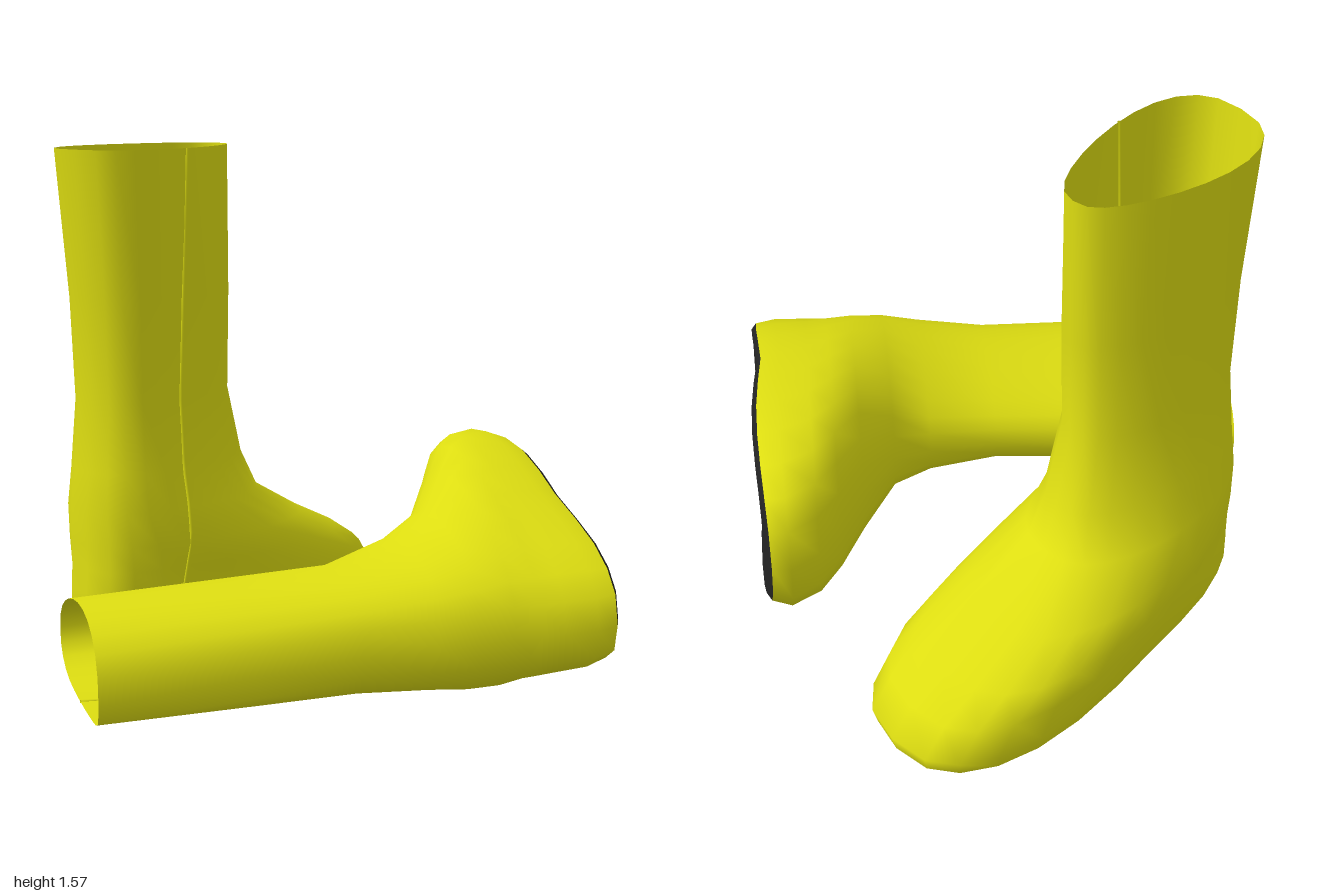
import * as THREE from 'three';

const SEG = 24;
const yellow = new THREE.MeshStandardMaterial({ color: 0xdddd11, side: THREE.DoubleSide });
const dark = new THREE.MeshStandardMaterial({ color: 0x242424, side: THREE.DoubleSide });
const lerp = THREE.MathUtils.lerp;

// Level sections of a boot: height, back, front, side offset (heel, toe),
// half width (heel, toe), waist pinch. u runs heel to toe, s to the inner side.
const SECTIONS = [
  [0.015, 0.005, 1.35, 0.01, 0.17, 0.245, 0.345, 0.13],
  [0.08, -0.015, 1.37, 0.005, 0.18, 0.26, 0.37, 0.12],
  [0.18, -0.01, 1.30, 0.005, 0.18, 0.26, 0.37, 0.09],
  [0.25, -0.005, 1.18, 0.005, 0.175, 0.255, 0.355, 0.05],
  [0.33, 0.0, 0.99, 0.01, 0.15, 0.25, 0.31, 0],
  [0.44, 0.0, 0.765, 0.01, 0.11, 0.24, 0.235, 0],
  [0.56, 0.01, 0.7, 0.01, 0.09, 0.225, 0.175, 0],
  [0.78, 0.025, 0.625, 0.01, 0.06, 0.205, 0.14, 0],
  [1.10, 0.0, 0.625, 0.0, 0.055, 0.215, 0.145, 0],
  [1.57, -0.06, 0.625, -0.02, 0.055, 0.25, 0.14, 0],
];

// Point [u, h, s] on a section at angle t (0 = toe, 90 degrees = inner side)
function sectionPoint([h, u0, u1, sb, sf, wb, wf, pinch], t) {
  const f = (1 + Math.cos(t)) / 2, sn = Math.sin(t);
  const waist = pinch * (sn > 0 ? 0.4 : 1);
  const w = lerp(wb, wf, f) - waist * sn * sn * (1 - f);
  const u = lerp(u0, u1, f);
  return [u, h + lift(u, h), lerp(sb, sf, f) + w * Math.sign(sn) * Math.abs(sn) ** 0.78];
}

// Slight arch under the waist and spring under the toe, fading out upwards
function lift(u, h) {
  const arch = 0.018 * Math.exp(-(((u - 0.5) / 0.2) ** 2));
  const toe = 0.025 * Math.max(0, (u - 0.9) / 0.45) ** 2;
  return (arch + toe) * Math.max(0, 1 - h / 0.2);
}

// Skin over closed rings of local points, placed in the world by place()
function loft(rings, place, mirrored) {
  const pos = [], idx = [];
  rings.forEach((ring) => ring.forEach((p) => pos.push(...place(...p))));
  for (let i = 0; i < rings.length - 1; i++) {
    for (let j = 0; j < SEG; j++) {
      const a = i * SEG + j, b = i * SEG + ((j + 1) % SEG), c = a + SEG, d = b + SEG;
      if (mirrored) idx.push(a, b, c, b, d, c);
      else idx.push(a, c, b, b, c, d);
    }
  }
  const g = new THREE.BufferGeometry();
  g.setAttribute('position', new THREE.Float32BufferAttribute(pos, 3));
  g.setIndex(idx);
  g.computeVertexNormals();
  return g;
}

function makeBoot(name, place, mirrored) {
  const boot = new THREE.Group();
  boot.name = name;
  const add = (geometry, material, part) => {
    const mesh = new THREE.Mesh(geometry, material);
    mesh.name = part;
    boot.add(mesh);
  };
  const angles = Array.from({ length: SEG }, (_, j) => (j / SEG) * Math.PI * 2);

  // Foot and shaft in one open skin
  const rings = SECTIONS.map((row) => angles.map((t) => sectionPoint(row, t)));
  add(loft(rings, place, mirrored), yellow, 'upper');

  // Sole: shrunken copies of the lowest ring, from the middle out to the edge
  const soleRings = [[0, 0.025], [0.5, 0.02], [0.85, 0.002], [0.95, 0], [1, 0.015]].map(([k, h]) =>
    rings[0].map(([u, , s]) => {
      const su = lerp(0.68, u, k);
      return [su, h + lift(su, h), lerp(0.1, s, k)];
    }));
  add(loft(soleRings, place, mirrored), dark, 'sole');

  // Raised seam up the outer side
  const seam = SECTIONS.slice(2).map((row) => {
    const mid = (row[1] + row[2]) / 2, half = (row[2] - row[1]) / 2;
    const t = -Math.acos((0.26 - mid) / half);
    return new THREE.Vector3(...place(...sectionPoint(row, t)));
  });
  const path = new THREE.CurvePath();
  for (let i = 1; i < seam.length; i++) path.add(new THREE.LineCurve3(seam[i - 1], seam[i]));
  add(new THREE.TubeGeometry(path, 30, 0.005, 6), yellow, 'seam');
  return boot;
}

export function createModel() {
  const model = new THREE.Group();
  model.name = 'rainBoots';

  // Right boot stands, toe turned slightly to the back
  const c = Math.cos(0.105), n = Math.sin(0.105);
  model.add(makeBoot('standingBoot',
    (u, h, s) => [-0.445 + u * c - s * n, h, -0.46 - u * n - s * c], true));

  // Left boot lies on its outer side, its shaft sagging flat on the ground
  model.add(makeBoot('lyingBoot',
    (u, h, s) => {
      const y = 0.2 + s - 0.075 * h;
      return [
        0.42 + 0.44 * u - 0.89 * h,
        (y + Math.hypot(y, 0.05 * h)) / 2,
        1 - 0.898 * u - 0.44 * h,
      ];
    }, false));
  return model;
}
